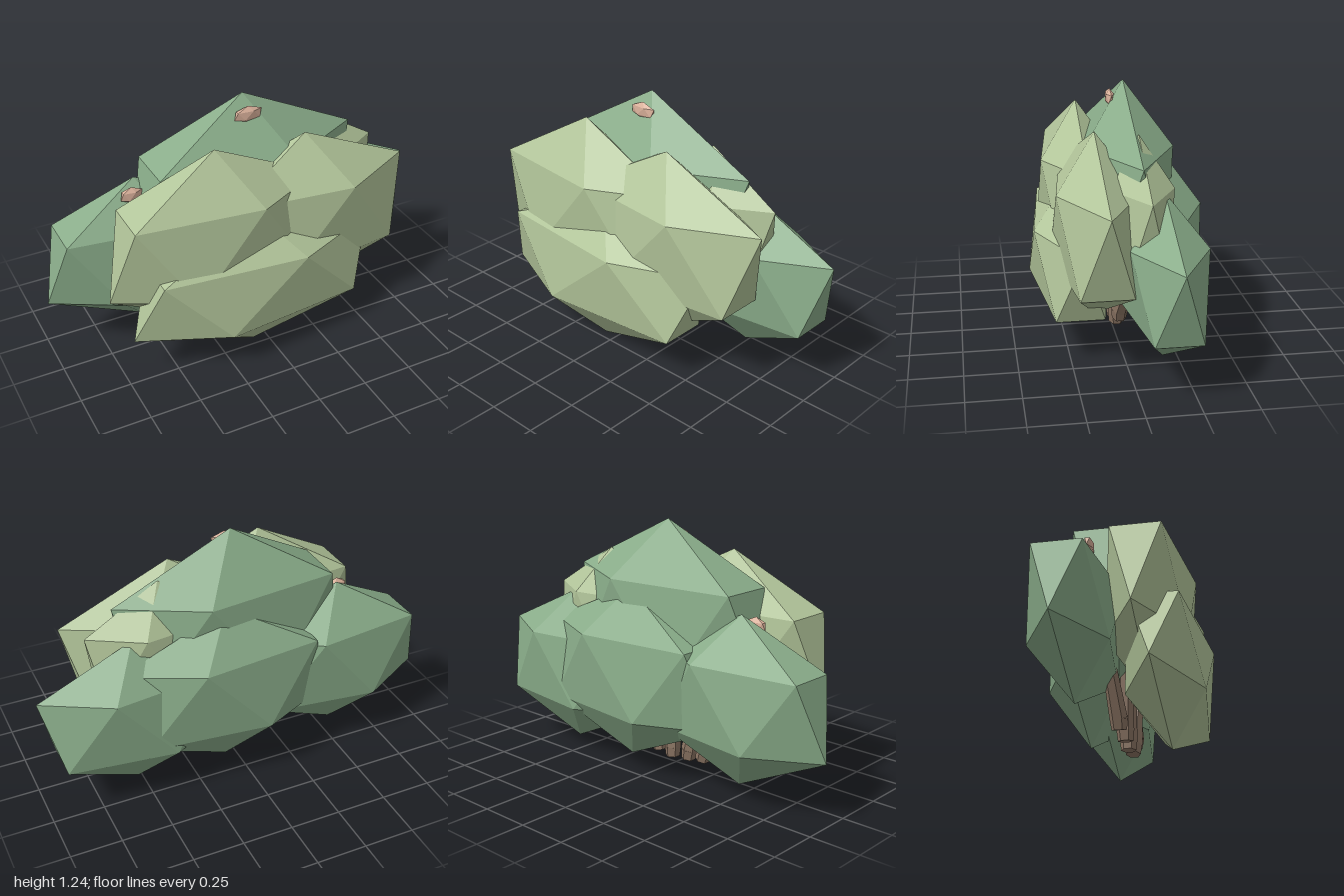
import * as THREE from 'three';
import { ConvexGeometry } from 'three/addons/geometries/ConvexGeometry.js';

const mat = (color) => new THREE.MeshStandardMaterial({ color, flatShading: true });

// Twenty-sided solid standing on a corner, with an upper and a lower ring of five
function facetedBall() {
  const points = [new THREE.Vector3(0, 1, 0), new THREE.Vector3(0, -1, 0)];
  const h = 1 / Math.sqrt(5);
  for (let i = 0; i < 5; i++) {
    const a = (i * Math.PI * 2) / 5;
    const x = 2 * h * Math.cos(a), z = 2 * h * Math.sin(a);
    points.push(new THREE.Vector3(x, h, z), new THREE.Vector3(-x, -h, -z));
  }
  return new ConvexGeometry(points);
}

export function createModel() {
  const model = new THREE.Group();
  model.name = 'bush';
  const light = mat(0xb2c59a);
  const dark = mat(0x8aad8a);
  const bark = mat(0x8f7866);
  const tipWood = mat(0xd9b09a);
  const ball = facetedBall();

  const addBall = (name, material, center, radii) => {
    const mesh = new THREE.Mesh(ball, material);
    mesh.name = name;
    mesh.position.set(...center);
    mesh.scale.set(...radii);
    model.add(mesh);
  };

  // Foliage clumps: lighter in front, darker behind
  addBall('frontFoliage', light, [-0.07, 0.41, 0.205], [0.705, 0.378, 0.217]);
  addBall('upperRightFoliage', light, [-0.24, 0.665, 0.145], [0.61, 0.468, 0.223]);
  addBall('upperLeftFoliage', light, [0.245, 0.64, 0.115], [0.62, 0.447, 0.229]);
  addBall('innerLeftFoliage', light, [0.368, 0.696, -0.07], [0.405, 0.4, 0.17]);
  addBall('topFoliage', dark, [0, 0.76, -0.055], [0.66, 0.515, 0.247]);
  addBall('leftFoliage', dark, [0.535, 0.48, -0.16], [0.52, 0.391, 0.206]);
  addBall('rightFoliage', dark, [-0.525, 0.51, -0.147], [0.531, 0.403, 0.215]);
  addBall('backFoliage', dark, [0.095, 0.54, -0.215], [0.597, 0.42, 0.2]);

  // Stems fan out from the base: a short upright foot, then a tapered branch
  const addStem = (from, to, r0, r1) => {
    const dir = to.clone().sub(from);
    const stem = new THREE.Mesh(new THREE.CylinderGeometry(r1, r0, dir.length(), 6), bark);
    stem.name = 'branch';
    stem.position.copy(from).addScaledVector(dir, 0.5);
    stem.quaternion.setFromUnitVectors(new THREE.Vector3(0, 1, 0), dir.normalize());
    model.add(stem);
  };
  const stems = [
    [-0.19, 0.1, -0.02, -0.53, 0.8, -0.09],
    [-0.09, 0.08, -0.01, -0.26, 0.95, 0.02],
    [0.01, 0.07, -0.015, 0, 1.15, -0.01],
    [0.1, 0.08, -0.01, 0.28, 0.95, 0],
    [0.17, 0.13, -0.015, 0.52, 0.75, -0.1],
  ];
  for (const [x, y, z, tx, ty, tz] of stems) {
    const knee = new THREE.Vector3(x + (tx - x) * 0.05, y + 0.05, z);
    addStem(new THREE.Vector3(x, y, z), knee, 0.036, 0.042);
    addStem(knee, new THREE.Vector3(tx, ty, tz), 0.042, 0.016);
  }

  // Twig ends poking through the leaves
  addBall('topTwigEnd', tipWood, [0, 1.19, 0.008], [0.078, 0.043, 0.022]);
  addBall('rightTwigEnd', tipWood, [-0.56, 0.855, -0.088], [0.06, 0.043, 0.022]);

  return model;
}
